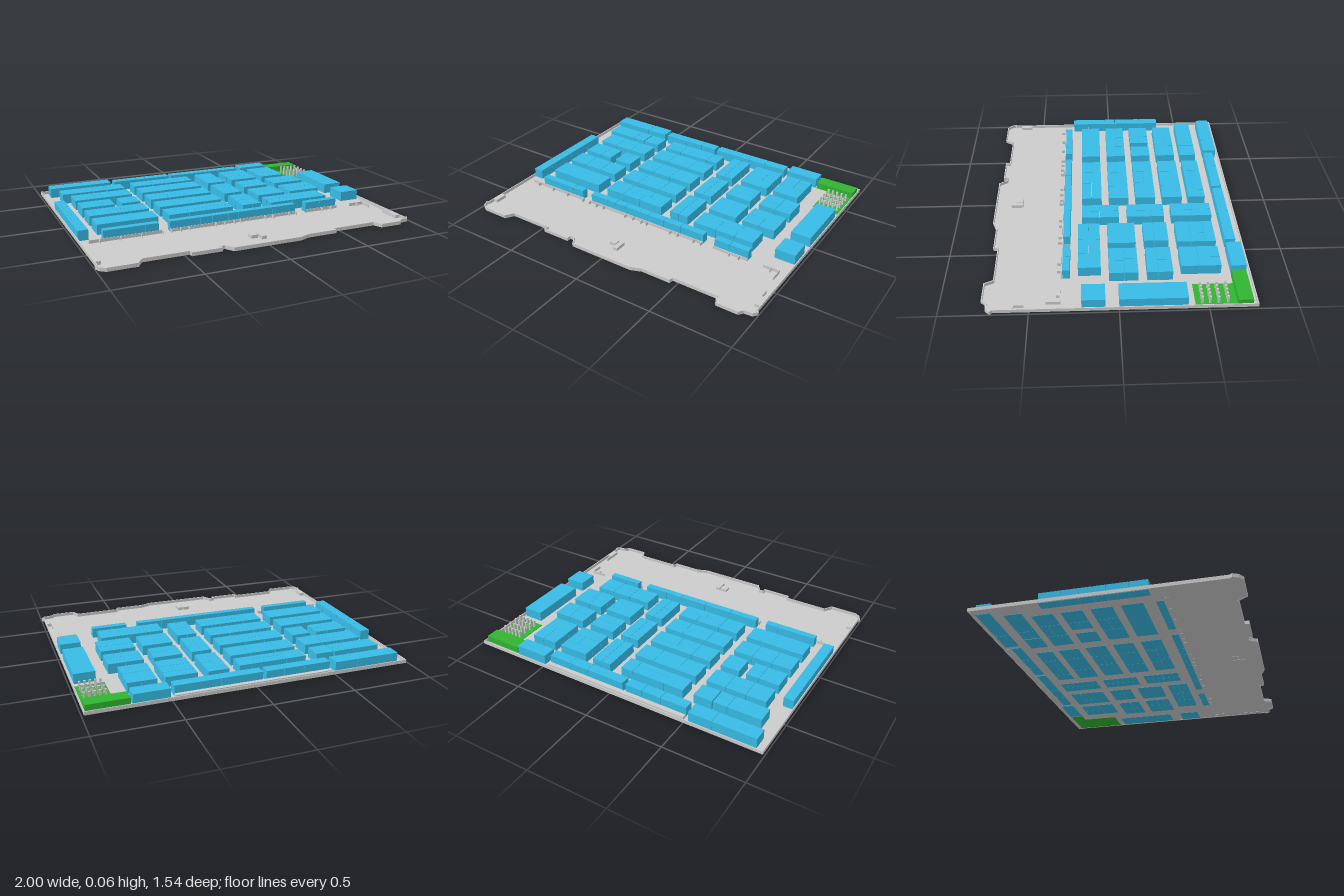
import * as THREE from 'three';

const grey = new THREE.MeshStandardMaterial({ color: 0xcccccc });
const greySheet = new THREE.MeshStandardMaterial({ color: 0xcccccc, side: THREE.DoubleSide });
const blue = new THREE.MeshStandardMaterial({ color: 0x38bce6 });
const green = new THREE.MeshStandardMaterial({ color: 0x30b430 });

const WALL_H = 0.022, SHOP_H = 0.065;

function group(parent, name) {
  const g = new THREE.Group();
  g.name = name;
  parent.add(g);
  return g;
}

// Box given by its footprint and height range
function slab(parent, name, mat, x0, x1, z0, z1, y1, y0 = 0) {
  const m = new THREE.Mesh(new THREE.BoxGeometry(x1 - x0, y1 - y0, z1 - z0), mat);
  m.position.set((x0 + x1) / 2, (y0 + y1) / 2, (z0 + z1) / 2);
  m.name = name;
  parent.add(m);
}

// Thin upright wall between two plan points
function wall(parent, name, [xa, za], [xb, zb], t = 0.006) {
  const len = Math.hypot(xb - xa, zb - za);
  const m = new THREE.Mesh(new THREE.BoxGeometry(len + t, WALL_H, t), grey);
  m.position.set((xa + xb) / 2, WALL_H / 2, (za + zb) / 2);
  m.rotation.y = -Math.atan2(zb - za, xb - xa);
  m.name = name;
  parent.add(m);
}

// Every cell between consecutive x edges and consecutive z edges is one shop
function shops(parent, xs, zs) {
  const gap = 0.001;
  for (let i = 0; i + 1 < xs.length; i++)
    for (let j = 0; j + 1 < zs.length; j++)
      slab(parent, 'shop', blue, xs[i] + gap, xs[i + 1] - gap, zs[j] + gap, zs[j + 1] - gap, SHOP_H);
}

export function createModel() {
  const mall = new THREE.Group();
  mall.name = 'mallFloor';

  // Floor sheet with the stepped entrance front
  const outline = [
    [-0.985, -0.772], [0.982, -0.772], [0.982, 0.7], [0.995, 0.712], [0.975, 0.735], [0.925, 0.74],
    [0.905, 0.765], [0.77, 0.765], [0.745, 0.713], [0.46, 0.713], [0.455, 0.74], [0.27, 0.74],
    [0.205, 0.765], [-0.22, 0.765], [-0.255, 0.713], [-0.285, 0.713], [-0.285, 0.74], [-0.465, 0.74],
    [-0.465, 0.713], [-0.745, 0.713], [-0.78, 0.765], [-0.95, 0.765], [-0.98, 0.745], [-0.995, 0.712],
    [-0.985, 0.7],
  ];
  const floorGeo = new THREE.ShapeGeometry(
    new THREE.Shape(outline.map(([x, z]) => new THREE.Vector2(x, -z))));
  floorGeo.rotateX(-Math.PI / 2);
  const floor = new THREE.Mesh(floorGeo, greySheet);
  floor.position.y = 0.002;
  floor.name = 'floor';
  mall.add(floor);

  // Low wall all round
  const walls = group(mall, 'outerWalls');
  outline.forEach((p, i) => wall(walls, 'outerWall', p, outline[(i + 1) % outline.length]));

  // Left and front edge rows, back rows and the two big stores at the side
  const edge = group(mall, 'edgeShops');
  shops(edge, [-0.98, -0.915], [-0.36, -0.23, -0.125, -0.045, 0.03, 0.155, 0.265]);
  shops(edge, [-0.94, -0.665, -0.515], [-0.75, -0.66]);
  shops(edge, [-0.49, -0.32, -0.195, -0.08], [-0.725, -0.66]);
  shops(edge, [-0.06, 0.195, 0.325, 0.475], [-0.725, -0.66]);
  shops(edge, [0.5, 0.715], [-0.75, -0.66]);
  shops(edge, [0.84, 0.97], [-0.385, 0]);
  shops(edge, [0.84, 0.97], [0.075, 0.21]);
  shops(edge, [-0.845, -0.59, -0.505], [0.275, 0.32]);
  shops(edge, [-0.435, -0.24, -0.16, -0.05, 0.015, 0.135, 0.255, 0.42], [0.275, 0.32]);
  shops(edge, [0.495, 0.6, 0.725], [0.275, 0.32]);

  // First island column
  const a = group(mall, 'islandColumnA');
  shops(a, [-0.895, -0.68], [-0.6, -0.49]);
  shops(a, [-0.68, -0.59], [-0.6, -0.54, -0.49]);
  shops(a, [-0.585, -0.465], [-0.6, -0.49]);
  for (const [z0, zm, z1, xm] of [[-0.45, -0.395, -0.32, -0.59], [-0.275, -0.21, -0.145, -0.635], [-0.1, -0.04, 0.03, -0.59]]) {
    shops(a, [-0.85, -0.72], [z0, z1]);
    shops(a, [-0.72, xm], [z0, zm, z1]);
    shops(a, [-0.59, -0.465], [z0, z1]);
  }
  shops(a, [-0.85, -0.465], [0.075, 0.205]);

  // Second island column
  const b = group(mall, 'islandColumnB');
  shops(b, [-0.395, -0.265], [-0.6, -0.49]);
  shops(b, [-0.265, -0.045], [-0.6, -0.535, -0.49]);
  shops(b, [-0.045, 0.035], [-0.6, -0.49]);
  shops(b, [-0.395, -0.265, -0.095, 0.035], [-0.45, -0.32]);
  shops(b, [-0.395, -0.265], [-0.275, -0.145]);
  shops(b, [-0.265, -0.135], [-0.275, -0.21, -0.145]);
  shops(b, [-0.135, 0.035], [-0.275, -0.145]);
  shops(b, [-0.395, -0.265, -0.095, 0.035], [-0.1, 0.03]);
  shops(b, [-0.395, -0.265], [0.075, 0.205]);
  shops(b, [-0.265, -0.095, 0.035], [0.075, 0.14]);
  shops(b, [-0.265, -0.135, 0.035], [0.14, 0.205]);

  // Narrow middle column
  const c = group(mall, 'islandColumnC');
  shops(c, [0.105, 0.17], [-0.615, -0.36]);
  shops(c, [0.17, 0.235], [-0.615, -0.485, -0.36]);
  shops(c, [0.105, 0.17], [-0.315, -0.08]);
  shops(c, [0.17, 0.235], [-0.315, -0.23, -0.08]);
  shops(c, [0.105, 0.17, 0.235], [-0.03, 0.095, 0.205]);

  // Fourth and fifth columns
  const d = group(mall, 'islandColumnD');
  shops(d, [0.295, 0.49], [-0.605, -0.54]);
  shops(d, [0.295, 0.41, 0.49], [-0.54, -0.455]);
  shops(d, [0.295, 0.49], [-0.455, -0.37]);
  shops(d, [0.295, 0.475], [-0.32, -0.235, -0.17]);
  shops(d, [0.295, 0.49], [-0.12, 0.05]);
  shops(d, [0.295, 0.45, 0.58], [0.095, 0.165, 0.23]);
  shops(d, [0.58, 0.705], [0.095, 0.23]);
  const e = group(mall, 'islandColumnE');
  shops(e, [0.535, 0.63, 0.71], [-0.605, -0.475]);
  shops(e, [0.535, 0.71], [-0.475, -0.37]);
  shops(e, [0.535, 0.65, 0.755], [-0.32, -0.235, -0.17]);
  shops(e, [0.535, 0.63, 0.755], [-0.12, -0.04]);
  shops(e, [0.535, 0.65, 0.755], [-0.04, 0.05]);

  // Dining corner: counter, green floor and rows of small tables
  const dining = group(mall, 'diningCorner');
  slab(dining, 'counter', green, 0.725, 0.975, -0.745, -0.66, 0.045);
  slab(dining, 'diningFloor', green, 0.8, 0.975, -0.66, -0.425, 0.006);
  for (const z of [-0.607, -0.555, -0.507, -0.463])
    for (let i = 0; i < 5; i++) {
      const x = 0.83 + i * 0.03;
      slab(dining, 'table', grey, x - 0.006, x + 0.006, z - 0.006, z + 0.006, 0.053, 0.006);
    }

  // Service strip behind the back shops
  slab(mall, 'serviceStrip', grey, -0.49, 0.475, -0.757, -0.73, WALL_H);

  // Partition walls in front of the shops
  const parts = group(mall, 'partitions');
  for (const [x0, x1] of [[-0.93, -0.49], [-0.435, 0.42], [0.495, 0.725], [0.83, 0.93]])
    wall(parts, 'partition', [x0, 0.328], [x1, 0.328], 0.004);
  for (const x of [-0.87, -0.745, -0.62, -0.49, -0.435, -0.375, -0.32, -0.145, -0.085, -0.02, 0.02,
    0.195, 0.25, 0.365, 0.415, 0.61, 0.675, 0.88])
    wall(parts, 'partitionStub', [x, 0.328], [x, 0.35], 0.004);
  wall(parts, 'partition', [0.93, 0.328], [0.93, 0.405], 0.004);

  // Kiosks in the entrance hall
  const kiosks = group(mall, 'entranceKiosks');
  slab(kiosks, 'kiosk', grey, -0.05, -0.005, 0.59, 0.63, WALL_H);
  slab(kiosks, 'kiosk', grey, 0.003, 0.033, 0.59, 0.665, WALL_H);
  slab(kiosks, 'kiosk', grey, -0.982, -0.952, 0.585, 0.662, WALL_H);
  slab(kiosks, 'kiosk', grey, 0.95, 0.98, 0.585, 0.662, WALL_H);
  wall(kiosks, 'kioskWall', [0.95, 0.53], [0.95, 0.66], 0.004);

  return mall;
}
